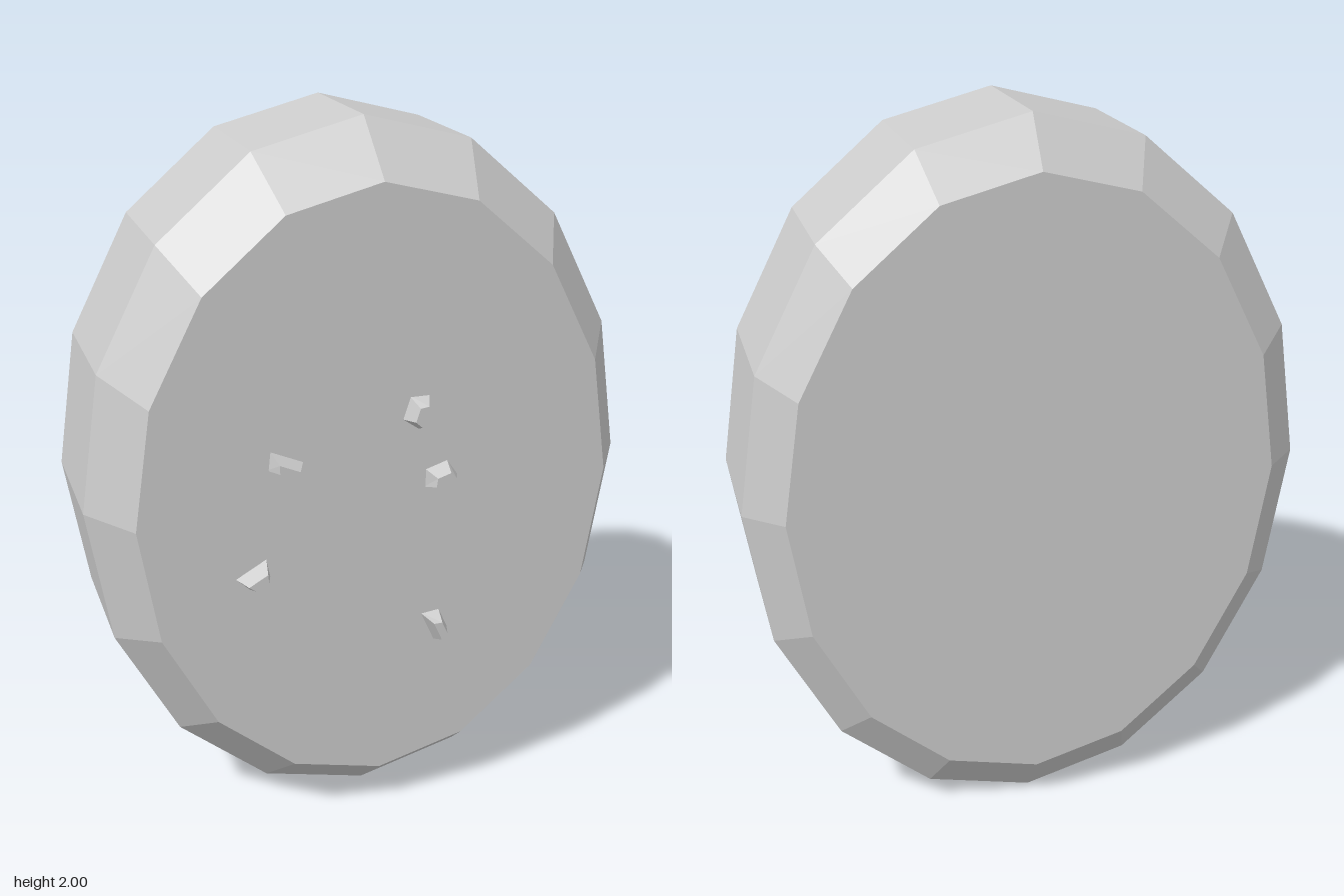
import * as THREE from 'three';

const stone = new THREE.MeshStandardMaterial({ color: 0xcccccc });
stone.name = 'lightGrey';

// Gives every face its own normal for a faceted look
function faceted(geometry) {
  const g = geometry.toNonIndexed();
  g.computeVertexNormals();
  return g;
}

// Sixteen-sided oval slab with a bevel at the front and back
function makeBody() {
  const profile = [[0, -0.34], [0.87, -0.34], [1, -0.25], [1, 0.13], [0.86, 0.29], [0, 0.29]]
    .map(([r, z]) => new THREE.Vector2(r, z));
  const g = new THREE.LatheGeometry(profile, 16);
  g.rotateX(Math.PI / 2);
  g.scale(0.78, 1, 1);
  g.translate(0, 1, 0);
  const body = new THREE.Mesh(faceted(g), stone);
  body.name = 'body';
  return body;
}

// Small chip: a trapezoid that narrows towards its outer face
function makeChipGeometry() {
  const g = new THREE.BoxGeometry(0.104, 0.056, 0.06);
  const p = g.attributes.position;
  for (let i = 0; i < p.count; i++) {
    const side = p.getY(i) > 0 ? 0.66 : 1;
    const taper = p.getZ(i) > 0 ? 0.58 : 1;
    p.setX(i, p.getX(i) * side * taper);
    p.setY(i, p.getY(i) * (p.getZ(i) > 0 ? 0.4 : 1));
  }
  return faceted(g);
}

export function createModel() {
  const model = new THREE.Group();
  model.name = 'ovalSlab';
  model.add(makeBody());

  // Chips scattered over the front face: x, y, turn in degrees
  const chipGeometry = makeChipGeometry();
  const chips = [
    [0.093, 1.245, 72], [-0.275, 1.135, 156], [0.165, 1.055, 17],
    [-0.357, 0.825, 209], [0.165, 0.593, -66],
  ];
  chips.forEach(([x, y, turn], i) => {
    const chip = new THREE.Mesh(chipGeometry, stone);
    chip.name = `chip${i + 1}`;
    chip.position.set(x, y, 0.31);
    chip.rotation.z = THREE.MathUtils.degToRad(turn);
    model.add(chip);
  });
  return model;
}
